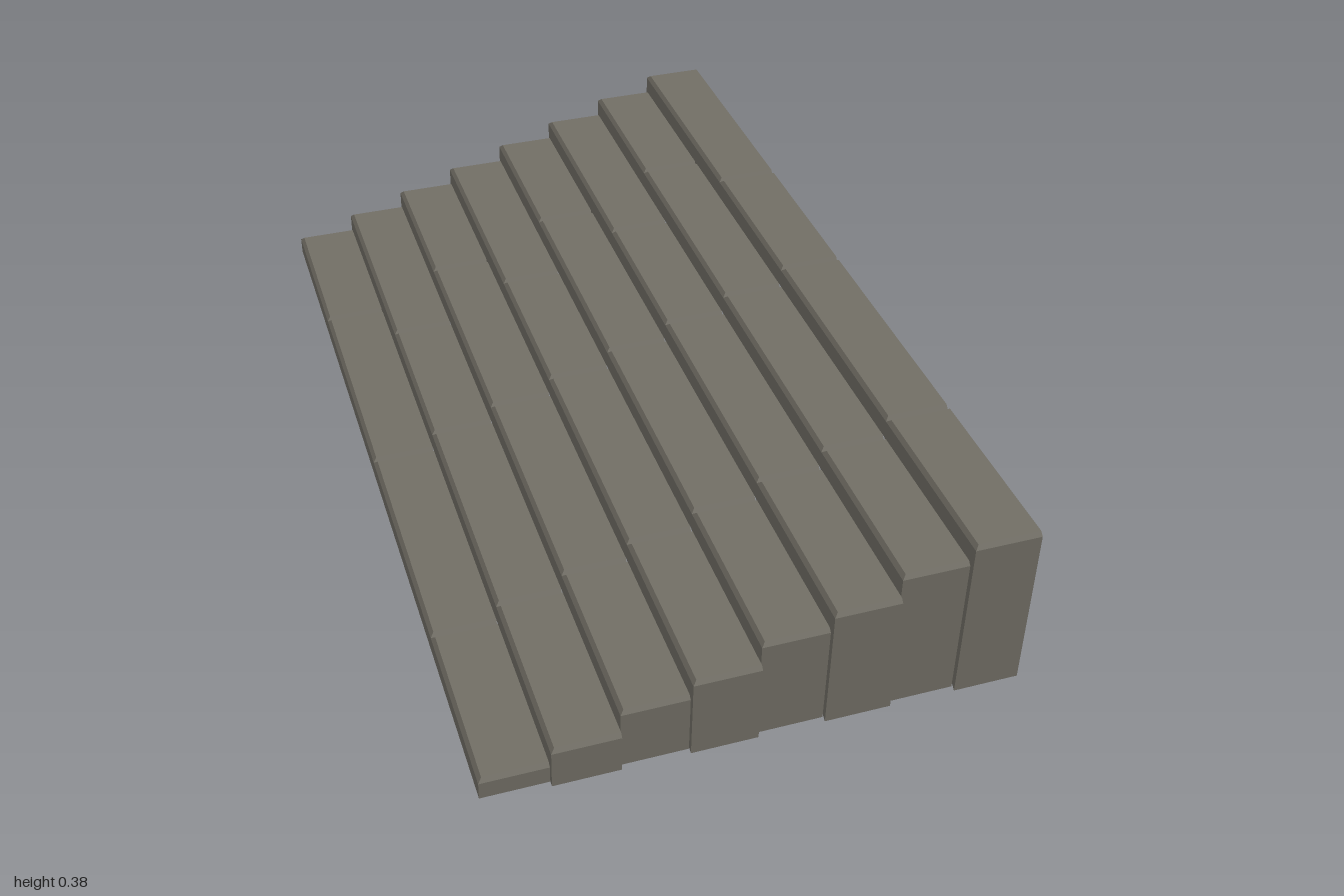
import * as THREE from 'three';

const STEPS = 8;
const RISE = 0.048;   // height of one step
const TREAD = 0.14;   // depth of one step
const CHAMFER = 0.008;

// Open slab: riser, two ends and top, chamfered on three edges.
// yFront and yBack are the heights its lower corners reach down to.
function slabGeometry(x0, x1, zFront, zBack, yFront, yBack, top) {
  const c = CHAMFER;
  const s = top - c;
  const ring = (xl, yf, yb, inset) => [
    [xl, yf, zFront - inset], [x1, yf, zFront - inset],
    [x1, yb, zBack + inset], [xl, yb, zBack + inset],
  ];
  const low = ring(x0, yFront, yBack, 0);
  const mid = ring(x0, s, s, 0);
  const cap = ring(x0 + c, top, top, c);
  const pos = [];
  const quad = (a, b, d, e) => pos.push(...a, ...b, ...d, ...a, ...d, ...e);

  // front, back and left walls with their chamfers; the right stays open
  for (const [i, j] of [[0, 1], [2, 3], [3, 0]]) {
    quad(low[i], low[j], mid[j], mid[i]);
    quad(mid[i], mid[j], cap[j], cap[i]);
  }
  quad(cap[0], cap[1], cap[2], cap[3]);

  const g = new THREE.BufferGeometry();
  g.setAttribute('position', new THREE.Float32BufferAttribute(pos, 3));
  g.computeVertexNormals();
  return g;
}

export function createModel() {
  const stone = new THREE.MeshStandardMaterial({ color: 0x716e65, side: THREE.DoubleSide });
  stone.name = 'greyStone';
  const model = new THREE.Group();
  model.name = 'staircase';

  for (let i = 0; i < STEPS; i++) {
    const step = new THREE.Group();
    step.name = `step${i + 1}`;
    const odd = i % 2 === 1;
    const x0 = (i - STEPS / 2) * TREAD;
    const low = i * RISE;
    // joints between slabs, front to back, staggered on every other step
    const joints = [odd ? 1 : 0.988, 0.585, -0.005, odd ? -0.42 : -0.595, -1];

    for (let k = 0; k < 4; k++) {
      // end slabs reach the ground at their outer end
      const slab = new THREE.Mesh(
        slabGeometry(x0, x0 + TREAD, joints[k], joints[k + 1],
          k === 0 ? 0 : low, k === 3 ? 0 : low, low + RISE),
        stone);
      slab.name = k === 0 ? 'frontSlab' : k === 3 ? 'backSlab' : `middleSlab${k}`;
      step.add(slab);
    }
    model.add(step);
  }
  return model;
}
